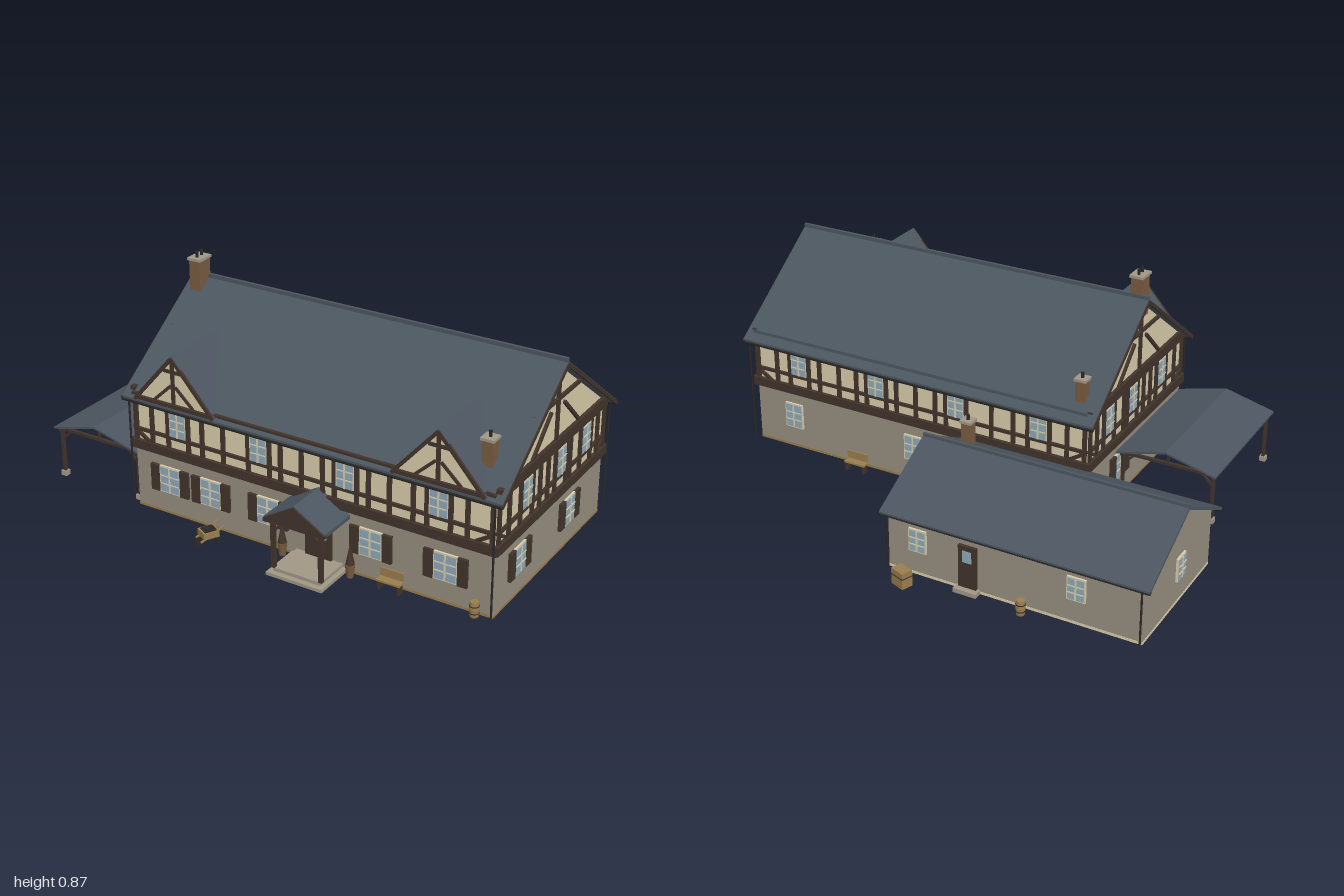
import * as THREE from 'three';

const mat = (name, color) => Object.assign(new THREE.MeshStandardMaterial({ color }), { name });
const M = {
  slate: mat('roof slate', 0x4c5660), plaster: mat('cream plaster', 0xd8ccaa),
  stone: mat('wall stone', 0x968d7f), timber: mat('dark timber', 0x42342b),
  brick: mat('chimney brick', 0x785c40), glass: mat('window glass', 0x8ea9b8),
  wood: mat('light wood', 0x997d4d), iron: mat('black iron', 0x2a2826),
  floor: mat('grey floor', 0x85847f), trim: mat('pale trim stone', 0xa09786),
};

const add = (parent, name, geo, m, x = 0, y = 0, z = 0) => {
  const mesh = new THREE.Mesh(geo, m);
  mesh.name = name;
  mesh.position.set(x, y, z);
  parent.add(mesh);
  return mesh;
};
const group = (parent, name, x = 0, y = 0, z = 0, ry = 0) => {
  const g = new THREE.Group();
  g.name = name;
  g.position.set(x, y, z);
  g.rotation.y = ry;
  parent.add(g);
  return g;
};
const box = (p, name, m, w, h, d, x, y, z) => add(p, name, new THREE.BoxGeometry(w, h, d), m, x, y, z);
const cyl = (p, name, m, r, h, x, y, z, r2 = r, n = 12) =>
  add(p, name, new THREE.CylinderGeometry(r2, r, h, n), m, x, y, z);

// Straight square bar between two points
const bar = (p, name, m, a, b, w, d = w) => {
  const A = new THREE.Vector3(...a), B = new THREE.Vector3(...b);
  const mesh = box(p, name, m, w, A.distanceTo(B), d, 0, 0, 0);
  mesh.position.copy(A).add(B).multiplyScalar(0.5);
  mesh.quaternion.setFromUnitVectors(new THREE.Vector3(0, 1, 0), B.sub(A).normalize());
  return mesh;
};

// Prism with a symmetric cross-section, running from a to b along x or z
const prism = (p, name, m, pts, axis, a, b, c) => {
  const shape = new THREE.Shape(pts.map(q => new THREE.Vector2(...q)));
  const geo = new THREE.ExtrudeGeometry(shape, { depth: b - a, bevelEnabled: false });
  if (axis === 'x') geo.rotateY(Math.PI / 2);
  return axis === 'x' ? add(p, name, geo, m, a, 0, c) : add(p, name, geo, m, c, 0, a);
};
const roof = (p, name, axis, a, b, c, half, eave, ridge, t = 0.018) =>
  prism(p, name, M.slate, [[-half, eave], [0, ridge], [half, eave], [half, eave - t], [0, ridge - t], [-half, eave - t]], axis, a, b, c);
const gable = (half, y0, y1, y2) => [[-half, y0], [half, y0], [half, y1], [0, y2], [-half, y1]];

// Floor plate inside a rim of foundation sills
function base(p, floorMat, rimMat, x, z, w, d, joists) {
  const g = group(p, 'foundation', x, 0, z);
  box(g, 'floorPlate', floorMat, w - 0.02, 0.01, d - 0.02, 0, 0.006, 0);
  for (const k of [-1, 1]) {
    box(g, 'foundationSill', rimMat, w, 0.01, 0.024, 0, 0.005, k * (d / 2 - 0.012));
    box(g, 'foundationSill', rimMat, 0.024, 0.01, d - 0.048, k * (w / 2 - 0.012), 0.005, 0);
  }
  for (const j of joists) box(g, 'partitionSill', rimMat, 0.009, 0.01, d - 0.048, j - x, 0.005, 0);
}

// Framed window with glazing bars, in wall coordinates (z points outward)
function addWindow(wall, x, y, w, h, shutters = false) {
  const g = group(wall, 'window', x, y, 0);
  box(g, 'windowFrame', M.plaster, w + 0.01, h + 0.01, 0.008, 0, 0, 0.004);
  box(g, 'windowGlass', M.glass, w, h, 0.009, 0, 0, 0.006);
  box(g, 'mullion', M.plaster, 0.006, h, 0.004, 0, 0, 0.011);
  for (const k of [-1, 1]) {
    box(g, 'glazingBar', M.plaster, w, 0.004, 0.004, 0, k * h / 6, 0.011);
    if (shutters) box(g, 'shutter', M.timber, 0.036, h + 0.01, 0.012, k * (w / 2 + 0.024), 0, 0.006);
  }
}

// Half-timbered upper floor of one wall, spanning x0..x1
function timberFrame(wall, x0, x1, windows, posts) {
  const g = group(wall, 'timberFrame');
  const mid = (x0 + x1) / 2, len = x1 - x0;
  box(g, 'sillBeam', M.timber, len + 0.02, 0.035, 0.022, mid, 0.257, 0.004);
  box(g, 'midRail', M.timber, len, 0.012, 0.012, mid, 0.317, 0.004);
  box(g, 'topPlate', M.timber, len, 0.026, 0.018, mid, 0.448, 0.004);
  for (const x of windows) addWindow(wall, x, 0.372, 0.062, 0.097);
  const all = [x0 + 0.01, x1 - 0.01, ...posts, ...windows.flatMap(x => [x - 0.044, x + 0.044])];
  for (const x of all) box(g, 'stud', M.timber, 0.015, 0.18, 0.014, x, 0.355, 0.003);
  bar(g, 'brace', M.timber, [x0 + 0.01, 0.31, 0.004], [x0 + 0.07, 0.272, 0.004], 0.012);
  bar(g, 'brace', M.timber, [x1 - 0.01, 0.31, 0.004], [x1 - 0.07, 0.272, 0.004], 0.012);
}

function chimney(p, x, z, w, d, y0, y1, pots = [0]) {
  const g = group(p, 'chimney', x, 0, z);
  box(g, 'chimneyStack', M.brick, w, y1 - y0, d, 0, (y0 + y1) / 2, 0);
  box(g, 'chimneyCap', M.trim, w + 0.01, 0.01, d + 0.01, 0, y1, 0);
  for (const k of pots) cyl(g, 'chimneyPot', M.iron, 0.006, 0.024, 0, y1 + 0.014, k);
}

function bench(p, x, z, ry) {
  const g = group(p, 'bench', x, 0, z, ry);
  box(g, 'benchSeat', M.wood, 0.09, 0.007, 0.03, 0, 0.035, 0);
  box(g, 'benchBack', M.wood, 0.09, 0.03, 0.006, 0, 0.058, -0.014);
  for (const k of [-1, 1]) box(g, 'benchLeg', M.timber, 0.008, 0.036, 0.026, k * 0.038, 0.018, 0);
}

function barrel(p, x, z) {
  cyl(p, 'barrelBody', M.wood, 0.015, 0.028, x, 0.027, z, 0.018, 14);
  cyl(p, 'barrelTop', M.wood, 0.018, 0.028, x, 0.055, z, 0.015, 14);
  for (const y of [0.028, 0.054]) cyl(p, 'barrelHoop', M.iron, 0.0178, 0.003, x, y, z);
}

export function createModel() {
  const root = new THREE.Group();
  root.name = 'countryHouse';

  // Main house body and roof
  const house = group(root, 'mainHouse');
  box(house, 'groundFloorWalls', M.stone, 1.45, 0.243, 0.83, 0.235, 0.1255, 0.25);
  prism(house, 'upperFloorWalls', M.plaster, gable(0.415, 0.245, 0.447, 0.745), 'x', -0.49, 0.96, 0.25);
  base(house, M.brick, M.wood, 0.235, 0.25, 1.452, 0.832, [-0.1, 0.55]);
  roof(house, 'mainRoof', 'x', -0.525, 0.99, 0.243, 0.447, 0.443, 0.765);
  box(house, 'ridgeCap', M.slate, 1.515, 0.014, 0.012, 0.232, 0.768, 0.243);
  for (const x of [-0.524, 0.989]) for (const k of [-1, 1])
    bar(house, 'bargeBoard', M.timber, [x, 0.432, 0.243 + k * 0.447], [x, 0.753, 0.243], 0.008, 0.014);
  box(house, 'snowGuard', M.slate, 1.45, 0.012, 0.005, 0.235, 0.472, -0.175);

  // Wing at the back
  const wing = group(root, 'rearWing');
  prism(wing, 'wingWalls', M.stone, gable(0.278, 0.004, 0.228, 0.374), 'x', -0.97, 0, -0.443);
  base(wing, M.floor, M.plaster, -0.485, -0.443, 0.972, 0.558, [-0.485]);
  roof(wing, 'wingRoof', 'x', -1, 0.02, -0.447, 0.302, 0.23, 0.388, 0.012);
  box(wing, 'wingRidgeCap', M.slate, 1.02, 0.012, 0.01, -0.49, 0.391, -0.447);

  // Gutters and downpipes
  for (const [x, len, y, z] of [[0.232, 1.515, 0.43, 0.686], [0.232, 1.515, 0.43, -0.2], [-0.49, 1.02, 0.221, -0.743], [-0.76, 0.48, 0.221, -0.15]])
    cyl(root, 'gutter', M.iron, 0.007, len, x, y, z, 0.007, 8).rotation.z = Math.PI / 2;
  for (const [x, z, y] of [[0.965, 0.688, 0.43], [-0.495, 0.688, 0.43], [0.965, -0.2, 0.43], [-0.97, -0.74, 0.22], [-0.005, -0.74, 0.22]])
    cyl(root, 'downpipe', M.iron, 0.0038, y - 0.015, x, (y + 0.015) / 2, z, 0.0038, 8);

  // Wall faces, each with z pointing outward
  const front = group(root, 'frontWall', 0, 0, 0.665);
  const back = group(root, 'backWall', 0, 0, -0.165, Math.PI);
  timberFrame(front, -0.49, 0.96, [-0.295, 0.05, 0.4, 0.755], [-0.41, -0.19, -0.1, 0.14, 0.225, 0.31, 0.49, 0.57, 0.66, 0.86]);
  timberFrame(back, -0.96, 0.49, [-0.755, -0.4, -0.05, 0.295], [-0.86, -0.66, -0.57, -0.49, -0.31, -0.225, -0.14, 0.1, 0.19, 0.41]);
  for (const x of [-0.34, -0.16, 0.085, 0.5, 0.785]) addWindow(front, x, 0.14, 0.08, 0.095, true);
  for (const x of [-0.79, -0.24]) addWindow(back, x, 0.14, 0.07, 0.095);

  // Gable ends
  for (const s of [1, -1]) {
    const end = group(root, s > 0 ? 'rightGable' : 'leftGable', s > 0 ? 0.96 : -0.49, 0, 0.25, s * Math.PI / 2);
    timberFrame(end, -0.415, 0.415, [-0.21, 0.05, 0.25].map(x => s * x), [-0.335, -0.11, -0.05, 0.125, 0.35].map(x => s * x));
    box(end, 'gableBeam', M.timber, 0.83, 0.024, 0.02, 0, 0.464, 0.004);
    box(end, 'collarBeam', M.timber, 0.36, 0.012, 0.014, 0, 0.625, 0.004);
    box(end, 'kingPost', M.timber, 0.012, 0.28, 0.014, 0, 0.605, 0.004);
    for (const k of [-1, 1])
      bar(end, 'gableBrace', M.timber, [k * 0.18, 0.475, 0.004], [k * 0.05, 0.595, 0.004], 0.012);
    for (const x of [-0.24, 0.145]) addWindow(end, s * x, 0.14, 0.07, 0.095, true);
    const wingEnd = group(root, 'wingGable', s > 0 ? 0 : -0.97, 0, -0.43, s * Math.PI / 2);
    addWindow(wingEnd, 0, 0.14, 0.056, 0.08);
  }

  // Wing windows and back door
  const wingFront = group(root, 'wingFrontWall', -0.74, 0, -0.165);
  addWindow(wingFront, 0, 0.14, 0.06, 0.075);
  const wingBack = group(root, 'wingBackWall', 0, 0, -0.721, Math.PI);
  for (const x of [0.12, 0.73]) addWindow(wingBack, x, 0.14, 0.06, 0.08);
  box(wingBack, 'backDoor', M.timber, 0.07, 0.165, 0.012, 0.32, 0.098, 0.006);
  box(wingBack, 'backDoorGlass', M.glass, 0.035, 0.045, 0.006, 0.32, 0.14, 0.011);
  box(wingBack, 'doorStep', M.trim, 0.09, 0.016, 0.035, 0.32, 0.008, 0.017);

  // Dormers
  for (const x of [-0.296, 0.757]) {
    const d = group(root, 'dormer', x, 0, 0);
    prism(d, 'dormerWall', M.plaster, [[-0.165, 0.445], [0.165, 0.445], [0, 0.63]], 'z', 0.42, 0.683, 0);
    roof(d, 'dormerRoof', 'z', 0.4, 0.69, 0, 0.172, 0.452, 0.648, 0.014);
    box(d, 'dormerPost', M.timber, 0.014, 0.165, 0.012, 0, 0.54, 0.683);
    box(d, 'dormerCollar', M.timber, 0.075, 0.012, 0.012, 0, 0.585, 0.683);
    box(d, 'dormerSill', M.timber, 0.33, 0.014, 0.018, 0, 0.455, 0.686);
    for (const k of [-1, 1]) {
      bar(d, 'dormerBarge', M.timber, [k * 0.17, 0.445, 0.688], [0, 0.638, 0.688], 0.013, 0.01);
      bar(d, 'dormerBrace', M.timber, [k * 0.085, 0.46, 0.683], [k * 0.01, 0.53, 0.683], 0.011);
    }
  }

  // Chimneys
  chimney(root, -0.475, 0.27, 0.046, 0.064, 0.68, 0.842, [-0.014, 0.014]);
  chimney(root, 0.885, 0.58, 0.04, 0.04, 0.46, 0.603);
  chimney(root, -0.44, -0.118, 0.038, 0.038, 0.45, 0.578);
  chimney(root, -0.07, -0.287, 0.038, 0.038, 0.28, 0.393);

  // Entrance porch
  const porch = group(root, 'porch', 0.293, 0, 0);
  box(porch, 'porchFloor', M.trim, 0.19, 0.025, 0.15, 0, 0.0125, 0.735);
  box(porch, 'porchStep', M.trim, 0.225, 0.012, 0.17, 0, 0.006, 0.745);
  roof(porch, 'porchRoof', 'z', 0.66, 0.822, 0, 0.122, 0.222, 0.295, 0.014);
  prism(porch, 'porchGable', M.timber, [[-0.122, 0.206], [0.122, 0.206], [0.122, 0.218], [0, 0.291], [-0.122, 0.218]], 'z', 0.812, 0.827, 0);
  box(porch, 'frontDoor', M.timber, 0.105, 0.175, 0.016, 0, 0.11, 0.668);
  for (const k of [-1, 1]) {
    box(porch, 'doorGlass', M.glass, 0.026, 0.085, 0.006, k * 0.022, 0.145, 0.676);
    box(porch, 'glassDivider', M.plaster, 0.004, 0.085, 0.004, k * 0.022, 0.145, 0.6785);
    box(porch, 'porchPost', M.timber, 0.015, 0.185, 0.015, k * 0.095, 0.117, 0.805);
    box(porch, 'porchPlate', M.timber, 0.014, 0.014, 0.15, k * 0.095, 0.207, 0.738);
    bar(porch, 'porchBrace', M.timber, [k * 0.095, 0.165, 0.805], [k * 0.055, 0.205, 0.805], 0.01);
    cyl(porch, 'planter', M.brick, 0.012, 0.05, k * 0.138, 0.025, 0.69, 0.018);
    add(porch, 'plant', new THREE.ConeGeometry(0.017, 0.085, 8), M.timber, k * 0.138, 0.09, 0.69);
  }

  // Open side shelter
  const shelter = group(root, 'sideShelter', -0.692, 0, 0);
  roof(shelter, 'shelterRoof', 'z', 0.07, 0.662, 0, 0.198, 0.208, 0.258, 0.008);
  for (const z of [0.1, 0.37, 0.635]) {
    box(shelter, 'tieBeam', M.timber, 0.37, 0.011, 0.012, 0, 0.197, z);
    box(shelter, 'shelterKingPost', M.timber, 0.009, 0.05, 0.009, 0, 0.225, z);
    for (const k of [-1, 1]) {
      if (z === 0.37) continue;
      box(shelter, 'shelterPost', M.timber, 0.012, 0.18, 0.012, k * 0.18, 0.105, z);
      box(shelter, 'postBase', M.trim, 0.024, 0.02, 0.024, k * 0.18, 0.01, z);
      bar(shelter, 'shelterBrace', M.timber, [k * 0.18, 0.15, z], [k * 0.135, 0.195, z], 0.008);
    }
  }
  for (const k of [-1, 1]) box(shelter, 'shelterPlate', M.timber, 0.012, 0.012, 0.57, k * 0.18, 0.196, 0.367);

  // Benches and barrels
  bench(root, 0.59, 0.695, 0);
  bench(root, 0.475, -0.215, Math.PI);
  barrel(root, 0.91, 0.7);
  barrel(root, -0.55, -0.775);

  // Crate
  const crate = group(root, 'crate', -0.1, 0, -0.8, -0.35);
  box(crate, 'crateBody', M.wood, 0.06, 0.045, 0.045, 0, 0.04, 0);
  box(crate, 'crateBand', M.timber, 0.062, 0.004, 0.047, 0, 0.04, 0);
  box(crate, 'cratePallet', M.wood, 0.06, 0.017, 0.045, 0, 0.0085, 0);

  // Log pile
  const pile = group(root, 'logPile', -0.827, 0, 0.022);
  box(pile, 'pileRack', M.wood, 0.085, 0.012, 0.045, 0, 0.015, 0);
  for (let row = 0; row < 3; row++) for (let i = 0; i < 4 - row; i++)
    cyl(pile, 'log', M.timber, 0.01, 0.045, (i - (3 - row) / 2) * 0.02, 0.03 + row * 0.017, 0, 0.01, 8).rotation.x = Math.PI / 2;

  // Wheelbarrow
  const barrow = group(root, 'wheelbarrow', -0.105, 0, 0.765, -0.5);
  box(barrow, 'barrowTray', M.wood, 0.054, 0.024, 0.06, 0, 0.046, 0);
  box(barrow, 'barrowLoad', M.iron, 0.042, 0.01, 0.046, 0, 0.056, 0);
  cyl(barrow, 'barrowWheel', M.iron, 0.018, 0.008, 0, 0.018, 0.038, 0.018, 14).rotation.z = Math.PI / 2;
  for (const k of [-1, 1]) {
    bar(barrow, 'barrowHandle', M.wood, [k * 0.02, 0.025, 0.04], [k * 0.025, 0.07, -0.05], 0.006);
    box(barrow, 'barrowLeg', M.iron, 0.006, 0.036, 0.006, k * 0.022, 0.018, -0.02);
  }
  return root;
}
